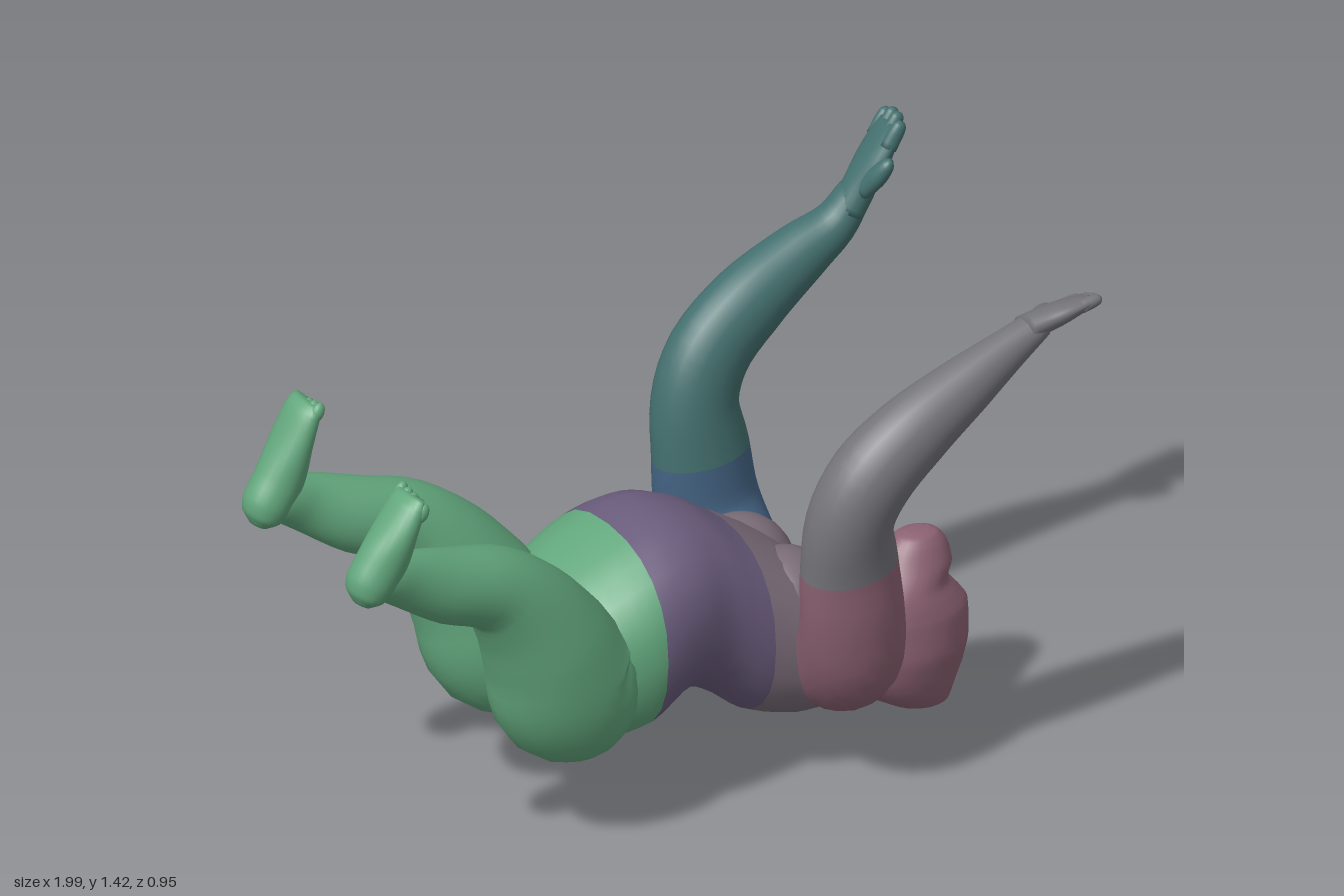
import * as THREE from 'three';

const V = (x, y, z) => new THREE.Vector3(x, y, z);
const X = V(1, 0, 0), Y = V(0, 1, 0), Z = V(0, 0, 1);
const SIDES = 24;

// Smooth loft. Each row: [x, y, z, radius along ref, radius across ref].
// axis fixes the direction of the cross-sections, from and to pick a stretch of rows,
// power below 1 makes the cross-sections squarer.
function loft(rows, ref, { axis = null, from = 0, to = rows.length - 1, steps = 4, power = 1 } = {}) {
  const path = new THREE.CatmullRomCurve3(rows.map(r => V(r[0], r[1], r[2])));
  const radii = new THREE.CatmullRomCurve3(rows.map(r => V(r[3], r[4], 0)));
  const bend = v => Math.sign(v) * Math.abs(v) ** power;
  const n = Math.round((to - from) * steps);
  // the ends close to a point, except where another stretch continues
  const first = from === 0 ? -1 : 0, last = to === rows.length - 1 ? n + 1 : n;
  const pos = [], idx = [];
  for (let i = first; i <= last; i++) {
    const k = Math.min(Math.max(i / n, 0), 1);
    const u = (from + (to - from) * k) / (rows.length - 1);
    const c = path.getPoint(u), r = radii.getPoint(u);
    const t = axis || path.getPoint(Math.min(u + 0.02, 1)).sub(path.getPoint(Math.max(u - 0.02, 0))).normalize();
    const a = ref.clone().addScaledVector(t, -t.dot(ref)).normalize();
    const b = t.clone().cross(a);
    const open = i < 0 || i > n ? 0 : 1;
    for (let j = 0; j < SIDES; j++) {
      const q = j / SIDES * Math.PI * 2;
      const p = c.clone()
        .addScaledVector(a, open * Math.max(r.x, 0.003) * bend(Math.cos(q)))
        .addScaledVector(b, open * Math.max(r.y, 0.003) * bend(Math.sin(q)));
      pos.push(p.x, p.y, p.z);
    }
  }
  for (let i = 0; i < last - first; i++) {
    for (let j = 0; j < SIDES; j++) {
      const a = i * SIDES + j, b = i * SIDES + (j + 1) % SIDES;
      idx.push(a, b, a + SIDES, b, b + SIDES, a + SIDES);
    }
  }
  const g = new THREE.BufferGeometry();
  g.setAttribute('position', new THREE.Float32BufferAttribute(pos, 3));
  g.setIndex(idx);
  g.computeVertexNormals();
  return g;
}

function part(parent, name, geometry, color) {
  const mesh = new THREE.Mesh(geometry, new THREE.MeshStandardMaterial({ color }));
  mesh.name = name;
  parent.add(mesh);
  return mesh;
}

function ellipsoid(parent, name, center, radius, color) {
  const mesh = part(parent, name, new THREE.SphereGeometry(1, 18, 12), color);
  mesh.position.set(...center);
  mesh.scale.set(...radius);
  return mesh;
}

// Palm, four short fingers and a thumb; the thumb lies toward -side * thumbSign
function hand(name, base, dir, side, thumbSign, length, width, thick, color) {
  const g = new THREE.Group();
  g.name = name;
  const d = dir.clone().normalize();
  const s = side.clone().addScaledVector(d, -side.dot(d)).normalize();
  const row = (l, w, ra, rb) => [
    ...base.clone().addScaledVector(d, l * length).addScaledVector(s, w * width).toArray(), ra, rb * thick];
  part(g, 'palm', loft([
    row(-0.12, 0, 0.046, 0.034), row(0.15, 0, width * 0.8, 0.032),
    row(0.45, 0, width, 0.028), row(0.72, 0, width, 0.021), row(0.87, 0, width * 0.92, 0.014),
  ], s), color);
  for (let i = 0; i < 4; i++) {
    const w = -0.75 + i * 0.5, tip = i === 0 || i === 3 ? 0.95 : 1;
    part(g, 'finger', loft([
      row(0.65, w * 0.98, 0.017, 0.017), row(0.82, w, 0.017, 0.016),
      row(tip - 0.04, w * 1.02, 0.014, 0.013), row(tip, w * 1.02, 0.006, 0.006),
    ], s, { steps: 3 }), color);
  }
  part(g, 'thumb', loft([
    row(0.15, -0.4 * thumbSign, 0.022, 0.022), row(0.35, -0.95 * thumbSign, 0.024, 0.022),
    row(0.52, -1.3 * thumbSign, 0.018, 0.016), row(0.58, -1.42 * thumbSign, 0.007, 0.007),
  ], d.clone().cross(s), { steps: 3 }), color);
  return g;
}

// Leg bent at hip and knee, with an upright foot
function leg(sign, name, rise, color) {
  const g = new THREE.Group();
  g.name = name;
  const z = v => -0.015 + sign * v;
  const foot = v => -0.003 + sign * v;
  part(g, 'thighAndCalf', loft([
    [-0.18, 0.37, z(0.13), 0.10, 0.10], [-0.25, 0.385, z(0.14), 0.15, 0.175],
    [-0.33, 0.42, z(0.155), 0.16, 0.195], [-0.4, 0.55, z(0.175), 0.148, 0.165],
    [-0.475, 0.67, z(0.19), 0.122, 0.132], [-0.56, 0.755, z(0.203), 0.1, 0.105],
    [-0.7, 0.807, z(0.218), 0.083, 0.095], [-0.82, 0.862, z(0.235), 0.06, 0.075],
    [-0.91, 0.9, foot(0.24), 0.05, 0.055], [-0.94, 0.905, foot(0.24), 0.03, 0.03],
  ], Z), color);
  part(g, 'foot', loft([
    [-0.962, 0.84, foot(0.242), 0.025, 0.02], [-0.952, 0.86, foot(0.242), 0.05, 0.048],
    [-0.935, 0.895, foot(0.242), 0.06, 0.062], [-0.9, 0.95, foot(0.244), 0.062, 0.062],
    [-0.865, 1.02 + rise * 0.5, foot(0.245), 0.067, 0.045],
    [-0.835, 1.075 + rise, foot(0.243), 0.064, 0.032], [-0.822, 1.1 + rise, foot(0.242), 0.055, 0.016],
  ], Z), color);
  for (let i = 0; i < 5; i++) {
    const toe = ellipsoid(g, 'toe', [-0.824, 1.086 + rise - i * 0.004, foot(0.194 + i * 0.025)],
      [0.017, 0.026, 0.015], color);
    toe.rotation.z = -0.45;
  }
  return g;
}

export function createModel() {
  const model = new THREE.Group();
  model.name = 'recliningFigure';
  const green = 0x62a67c, purple = 0x6a5c7c, mauve = 0x7a6c78, rose = 0x8c6272;
  const grey = 0x74747a, blue = 0x456585, teal = 0x44706f;

  // Pelvis, belly, chest and neck along x: [x, y centre, half height, half width]
  const torso = [
    [-0.43, 0.37, 0.04, 0.04], [-0.36, 0.4, 0.16, 0.18], [-0.25, 0.43, 0.225, 0.262],
    [-0.12, 0.468, 0.253, 0.283], [0, 0.512, 0.23, 0.265], [0.1, 0.48, 0.235, 0.243],
    [0.2, 0.41, 0.24, 0.248], [0.32, 0.355, 0.218, 0.265], [0.42, 0.312, 0.178, 0.23],
    [0.5, 0.275, 0.145, 0.15], [0.6, 0.275, 0.142, 0.113], [0.7, 0.28, 0.12, 0.1],
  ].map(([x, y, h, w]) => [x, y, -0.022, w, h]);
  const body = { axis: X, power: 0.88 };
  part(model, 'pelvis', loft(torso, Z, { ...body, to: 3 }), green);
  part(model, 'belly', loft(torso, Z, { ...body, from: 3, to: 6 }), purple);
  part(model, 'chestAndNeck', loft(torso, Z, { ...body, from: 6 }), mauve);
  for (const s of [1, -1]) {
    ellipsoid(model, 'chestMuscle', [0.31, 0.455, -0.02 + s * 0.1], [0.13, 0.128, 0.13], mauve);
  }

  // Head tipped back: crown at the bottom, chin at the top
  part(model, 'head', loft([
    [0.76, 0.004, -0.035, 0.025, 0.03], [0.745, 0.03, -0.035, 0.075, 0.08],
    [0.712, 0.08, -0.035, 0.108, 0.128], [0.7, 0.13, -0.035, 0.125, 0.158],
    [0.7, 0.2, -0.035, 0.138, 0.172], [0.7, 0.28, -0.035, 0.134, 0.172],
    [0.694, 0.32, -0.035, 0.126, 0.15], [0.692, 0.355, -0.035, 0.114, 0.125],
    [0.725, 0.4, -0.032, 0.092, 0.105], [0.738, 0.45, -0.027, 0.062, 0.076],
    [0.742, 0.472, -0.025, 0.042, 0.052], [0.745, 0.48, -0.025, 0.02, 0.028],
  ], Z, { axis: Y }), rose);

  model.add(leg(1, 'leftLeg', 0, green), leg(-1, 'rightLeg', 0.04, green));

  // Arms, raised and bent at the elbow
  const leftArm = [
    [0.42, 0.28, 0.04, 0.08, 0.1], [0.4, 0.3, 0.15, 0.125, 0.12], [0.38, 0.375, 0.262, 0.135, 0.13],
    [0.357, 0.5, 0.318, 0.11, 0.132], [0.337, 0.65, 0.337, 0.098, 0.125],
    [0.327, 0.78, 0.358, 0.097, 0.11], [0.375, 0.89, 0.375, 0.098, 0.108], [0.48, 0.985, 0.385, 0.09, 0.098],
    [0.63, 1.075, 0.387, 0.07, 0.075], [0.75, 1.14, 0.385, 0.05, 0.052], [0.84, 1.185, 0.38, 0.042, 0.033],
  ];
  const rightArm = [
    [0.42, 0.28, -0.07, 0.08, 0.1], [0.4, 0.3, -0.18, 0.125, 0.12], [0.38, 0.38, -0.295, 0.135, 0.13],
    [0.357, 0.5, -0.357, 0.113, 0.132], [0.337, 0.65, -0.358, 0.1, 0.125],
    [0.327, 0.79, -0.367, 0.094, 0.11], [0.37, 0.9, -0.373, 0.091, 0.108], [0.48, 1.0, -0.38, 0.088, 0.1],
    [0.63, 1.095, -0.382, 0.073, 0.076], [0.72, 1.155, -0.372, 0.057, 0.055], [0.77, 1.23, -0.362, 0.047, 0.04],
  ];
  part(model, 'leftUpperArm', loft(leftArm, Z, { to: 4 }), rose);
  part(model, 'leftForearm', loft(leftArm, Z, { from: 4 }), grey);
  part(model, 'rightUpperArm', loft(rightArm, Z, { to: 4 }), blue);
  part(model, 'rightForearm', loft(rightArm, Z, { from: 4 }), teal);
  model.add(
    hand('leftHand', V(0.82, 1.182, 0.378), V(0.96, 0.16, -0.04), V(0, 0.4, 0.91), 1, 0.18, 0.07, 1, grey),
    hand('rightHand', V(0.76, 1.21, -0.36), V(0.5, 0.86, 0.02), V(-0.25, 0, 1), -1, 0.245, 0.065, 1.25, teal),
  );
  return model;
}
